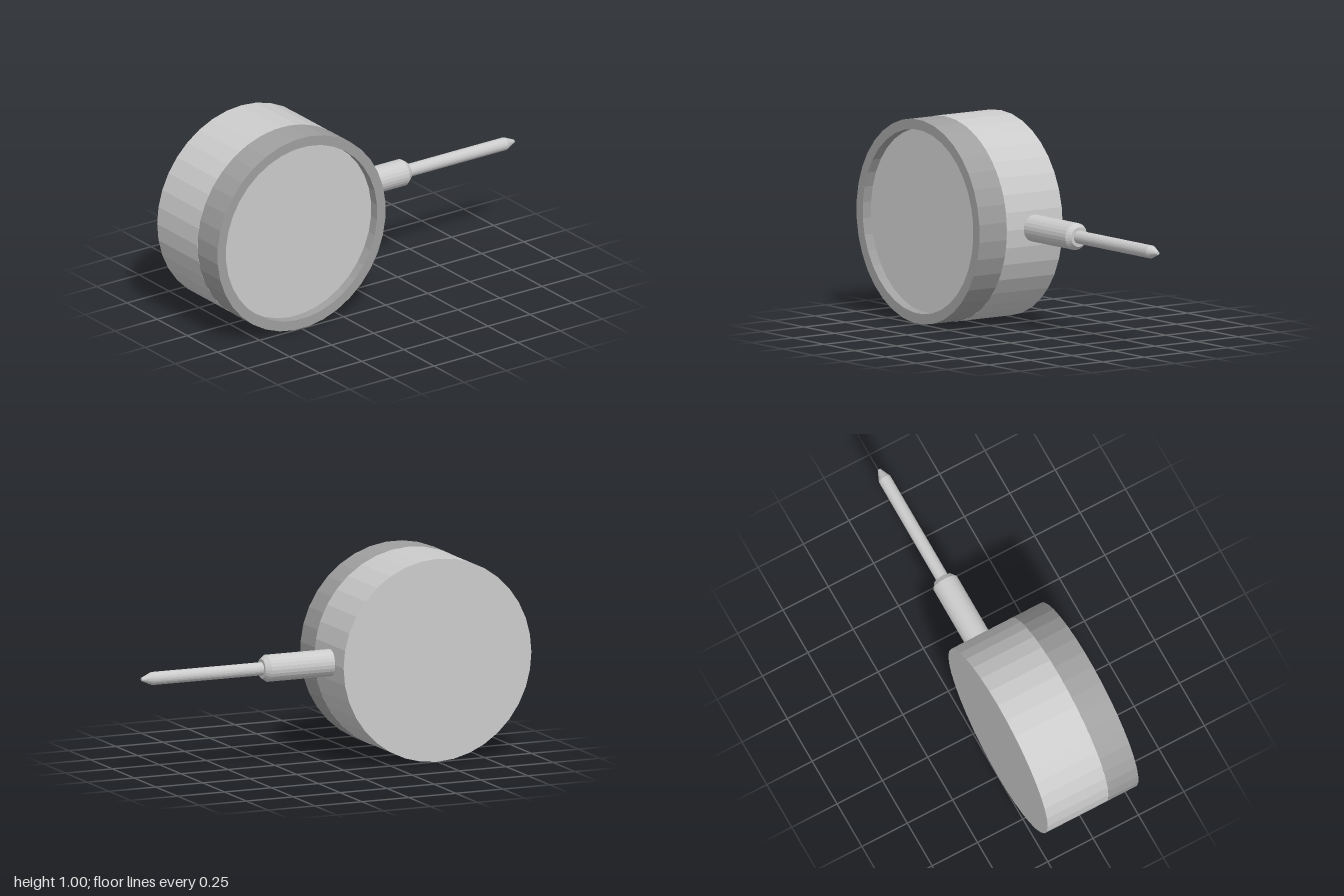
import * as THREE from 'three';

const SEGMENTS = 36;
const RADIUS = 0.5;

const grey = new THREE.MeshStandardMaterial({ color: 0xcccccc, flatShading: true });
const darkGrey = new THREE.MeshStandardMaterial({ color: 0xa0a0a0, flatShading: true });

// Turned part from [radius, height] pairs, listed so the outside faces out
function turned(name, profile, segments, material, phi = 0) {
  const points = profile.map(([r, h]) => new THREE.Vector2(r, h));
  const mesh = new THREE.Mesh(new THREE.LatheGeometry(points, segments, phi), material);
  mesh.name = name;
  return mesh;
}

export function createModel() {
  const model = new THREE.Group();
  model.name = 'dialIndicator';

  // Round gauge head, its axis turned to point forward
  const head = new THREE.Group();
  head.name = 'gaugeHead';
  head.position.set(-0.5, 0.5, 0);
  head.rotation.x = Math.PI / 2;
  head.add(
    turned('caseBody', [[0, -0.25], [RADIUS, -0.25], [RADIUS, 0.085], [0, 0.085]], SEGMENTS, grey),
    turned('dialFace', [[0.45, 0.085], [0.45, 0.2], [0, 0.2]], SEGMENTS, grey, Math.PI / SEGMENTS),
    // Rim stands proud of the dial, turned by half a facet
    turned('bezel', [[RADIUS, 0.085], [RADIUS, 0.25], [0.45, 0.25], [0.45, 0.085], [RADIUS, 0.085]],
      SEGMENTS, darkGrey, Math.PI / SEGMENTS)
  );
  model.add(head);

  // Plunger sticking out sideways along +x
  const plunger = new THREE.Group();
  plunger.name = 'plunger';
  plunger.position.set(0, 0.5, -0.083);
  plunger.rotation.z = -Math.PI / 2;
  plunger.add(
    turned('sleeve', [[0, -0.02], [0.066, -0.02], [0.066, 0.335], [0.048, 0.36], [0, 0.36]], 24, grey),
    turned('rod', [[0.032, 0.35], [0.032, 0.945], [0.008, 1], [0, 1]], 24, grey)
  );
  model.add(plunger);

  return model;
}
